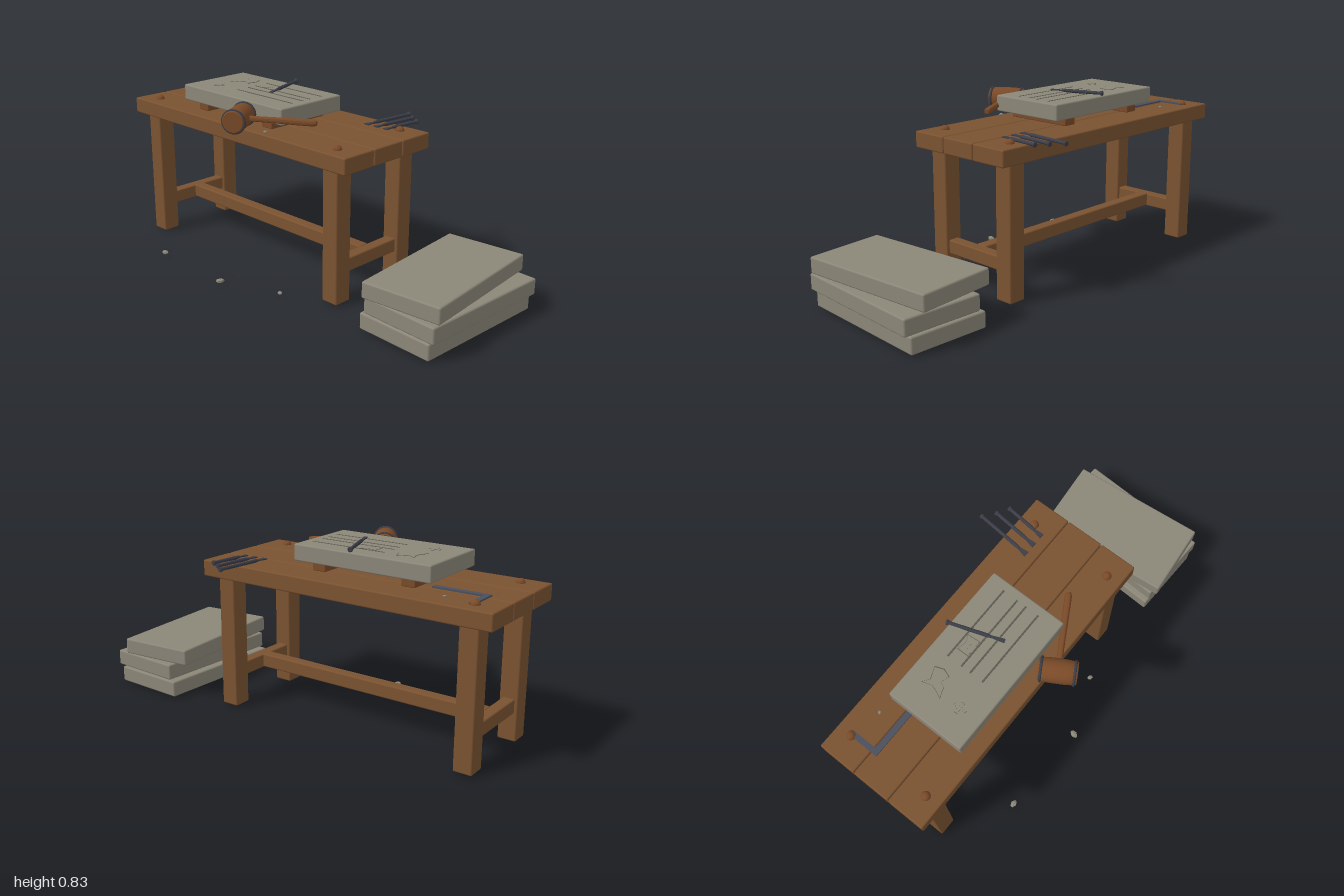
import * as THREE from 'three';
import { toCreasedNormals } from 'three/addons/utils/BufferGeometryUtils.js';
import { RoundedBoxGeometry } from 'three/addons/geometries/RoundedBoxGeometry.js';

const makeMat = (name, color) => {
  const m = new THREE.MeshStandardMaterial({ color });
  m.name = name;
  return m;
};

export function createModel() {
  const wood = makeMat('bench wood', 0x7a5230);
  const redWood = makeMat('mallet wood', 0x7a4a28);
  const stone = makeMat('stone', 0x8b8678);
  const carved = makeMat('carved groove', 0x5c5950);
  const iron = makeMat('iron', 0x3b3d48);
  const steel = makeMat('square steel', 0x4a4f5c);

  const root = new THREE.Group();
  root.name = 'stoneCarverBench';

  const add = (parent, name, geo, mat, x = 0, y = 0, z = 0) => {
    const m = new THREE.Mesh(geo, mat);
    m.name = name;
    m.position.set(x, y, z);
    parent.add(m);
    return m;
  };
  const group = (name, x, y, z, ry = 0) => {
    const g = new THREE.Group();
    g.name = name;
    g.position.set(x, y, z);
    g.rotation.y = ry;
    root.add(g);
    return g;
  };
  const block = (w, h, d, r = 0.007) => new RoundedBoxGeometry(w, h, d, 2, r);
  const lathe = (pts, seg = 16) => toCreasedNormals(
    new THREE.LatheGeometry(pts.map(p => new THREE.Vector2(p[0], p[1])), seg), 0.6);
  // flat plate from x,z corner points, facing up
  const plate = (pts, t) => {
    const s = new THREE.Shape(pts.map(p => new THREE.Vector2(p[0], -p[1])));
    return new THREE.ExtrudeGeometry(s, { depth: t, bevelEnabled: false }).rotateX(-Math.PI / 2);
  };

  // Bench: planks, legs, pegs and H-shaped stretchers
  const midX = -0.28, midZ = -0.027;
  const bench = group('bench', midX, 0, midZ);
  for (const i of [-1, 0, 1])
    add(bench, 'plank', block(1.44, 0.075, 0.18), wood, 0, 0.656, i * 0.1825);
  for (const sx of [-1, 1]) {
    for (const sz of [-1, 1]) {
      add(bench, 'leg', block(0.085, 0.615, 0.087), wood, sx * 0.61, 0.3125, sz * 0.2005);
      const peg = add(bench, 'peg', new THREE.SphereGeometry(0.021, 14, 7, 0, Math.PI * 2, 0, Math.PI / 2),
        redWood, sx * 0.61, 0.693, sz * 0.2005);
      peg.scale.y = 0.95;
    }
    add(bench, 'sideStretcher', block(0.055, 0.065, 0.33), wood, sx * 0.61, 0.165, 0);
  }
  add(bench, 'longStretcher', block(1.18, 0.065, 0.055), wood, 0, 0.168, 0);

  // Carved slab resting on two battens
  const slab = group('carvedSlab', -0.335, 0.73, -0.004);
  add(slab, 'slabBody', block(0.68, 0.075, 0.374), stone, 0, 0.0375, 0);
  for (const s of [-1, 1])
    add(slab, 'batten', block(0.065, 0.036, 0.33, 0.004), redWood, s * 0.222, -0.018, 0.002);

  // Carving: straight grooves, a hatchet figure and a small figure
  const carving = group('carving', 0, 0.8045, 0);
  for (const z of [-0.105, -0.033, 0.013, 0.077])
    add(carving, 'groove', new THREE.BoxGeometry(0.37, 0.003, 0.008), carved, -0.22, 0, z);
  const figure = [[-0.555, -0.12], [-0.525, -0.098], [-0.47, -0.12], [-0.455, -0.08], [-0.468, -0.042],
    [-0.505, -0.055], [-0.518, -0.03], [-0.548, -0.02], [-0.565, -0.012], [-0.55, -0.045], [-0.54, -0.075]];
  const cross = [[-0.548, 0.045], [-0.538, 0.045], [-0.538, 0.065], [-0.518, 0.065], [-0.518, 0.08],
    [-0.538, 0.08], [-0.538, 0.105], [-0.548, 0.105], [-0.548, 0.08], [-0.57, 0.08], [-0.57, 0.065], [-0.548, 0.065]];
  const small = [[-0.355, -0.095], [-0.31, -0.085], [-0.28, -0.1], [-0.275, -0.04], [-0.3, -0.04],
    [-0.305, -0.062], [-0.33, -0.062], [-0.335, -0.04], [-0.355, -0.04]];
  for (const pts of [figure, cross, small]) {
    // thin dark rim under a stone-coloured face
    const c = pts.reduce((a, p) => [a[0] + p[0] / pts.length, a[1] + p[1] / pts.length], [0, 0]);
    const inner = pts.map(p => p.map((v, k) => c[k] + (v - c[k]) * 0.93));
    add(carving, 'figureOutline', plate(pts, 0.0015), carved);
    add(carving, 'figureFace', plate(inner, 0.0025), stone);
  }

  // Stack of blank slabs
  [[0.775, 0.0425, -0.027, -0.04], [0.8, 0.1225, -0.024, -0.045], [0.765, 0.2025, -0.02, 0.09]]
    .forEach(([x, y, z, ry]) => {
      const m = add(root, 'stackedSlab', block(0.37, 0.075, 0.66, 0.008), stone, x, y, z);
      m.rotation.y = ry;
    });

  // Mallet: handle along local x, head along local z
  const mallet = group('mallet', -0.163, 0.755, 0.281, Math.PI / 6);
  const headPts = [[0, -0.083], [0.046, -0.083], [0.05, -0.078], [0.0535, -0.03], [0.0535, 0.03],
    [0.05, 0.078], [0.046, 0.083], [0, 0.083]];
  add(mallet, 'malletHead', lathe(headPts, 24).rotateX(Math.PI / 2), redWood);
  for (const s of [-1, 1])
    add(mallet, 'malletBand', new THREE.TorusGeometry(0.051, 0.006, 8, 28), iron, 0, 0, s * 0.071);
  const handlePts = [[0, -0.03], [0.013, -0.03], [0.013, 0.1], [0.0155, 0.3], [0.0155, 0.34], [0.011, 0.353], [0, 0.356]];
  add(mallet, 'malletHandle', lathe(handlePts, 12).rotateZ(-Math.PI / 2), redWood);

  // Chisels: from butt to cutting edge
  const chisel = (bx, bz, tx, tz, y, bladeLen, w) => {
    const len = Math.hypot(tx - bx, tz - bz);
    const g = group('chisel', bx, y, bz, Math.atan2(tx - bx, tz - bz));
    const s = len - bladeLen;
    const shaft = [[0, 0], [0.01, 0], [0.012, 0.004], [0.01, 0.011], [0.0075, 0.013],
      [0.0085, s - 0.02], [0.006, s], [0, s]];
    add(g, 'chiselShaft', lathe(shaft, 10).rotateX(Math.PI / 2), iron);
    const edge = [[-0.005, s - 0.005], [0.005, s - 0.005], [w, len], [-w, len]];
    add(g, 'chiselBlade', plate(edge, 0.005), iron, 0, -0.0025, 0);
  };
  chisel(0.214, -0.438, 0.19, -0.163, 0.707, 0.045, 0.014);
  chisel(0.267, -0.396, 0.245, -0.163, 0.707, 0.045, 0.013);
  chisel(0.32, -0.364, 0.3, -0.163, 0.707, 0.045, 0.012);
  chisel(-0.297, -0.202, -0.213, 0.042, 0.82, 0.06, 0.009);

  // Try square lying on the bench
  add(root, 'square', plate([[-0.892, -0.24], [-0.868, -0.24], [-0.868, -0.115], [-0.64, -0.115],
    [-0.64, -0.088], [-0.892, -0.088]], 0.007), steel, 0, 0.694, 0);

  // Stone chips: x, y, z, radius
  [[-0.615, 0.008, 0.392, 0.019], [-0.17, 0.01, 0.413, 0.021], [0.11, 0.007, 0.302, 0.014],
    [-0.745, 0.697, -0.2, 0.009], [-0.06, 0.699, 0.22, 0.012], [-0.3, 0.697, 0.03, 0.009]]
    .forEach(([x, y, z, r], i) => {
      const chip = add(root, 'stoneChip', toCreasedNormals(new THREE.DodecahedronGeometry(r), 0.1), stone, x, y, z);
      chip.scale.set(1, 0.5, 0.75);
      chip.rotation.y = i * 1.3;
    });

  return root;
}
